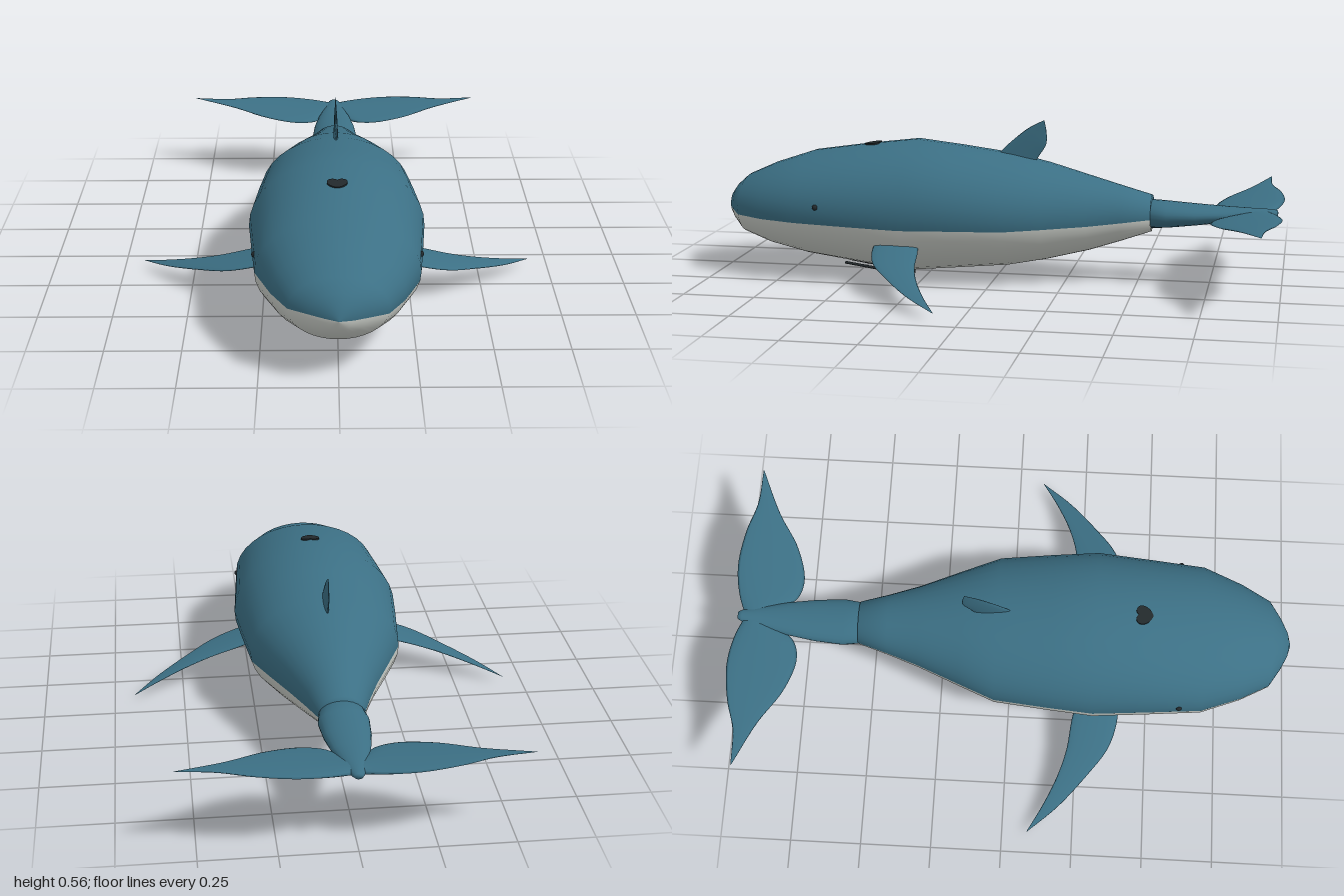
import * as THREE from 'three';

const V = (x, y, z) => new THREE.Vector3(x, y, z);
const mat = (color) => new THREE.MeshStandardMaterial({ color, roughness: 0.8 });

// Skin a list of closed rings; keep only the strips j0..j1 (normals stay shared across strips)
function loft(rings, j0 = 0, j1 = rings[0].length) {
  const n = rings[0].length;
  const strips = (from, to) => {
    const index = [];
    for (let i = 0; i < rings.length - 1; i++) {
      for (let j = from; j < to; j++) {
        const k = (j + 1) % n;
        const a = i * n + j, b = a + n, d = i * n + k, c = d + n;
        index.push(a, b, d, b, c, d);
      }
    }
    return index;
  };
  const geo = new THREE.BufferGeometry().setFromPoints(rings.flat());
  geo.setIndex(strips(0, n));
  geo.computeVertexNormals();
  geo.setIndex(strips(j0, j1));
  return geo;
}

// Elliptical rings from stations [z, halfWidth, top, bottom]
function hullRings(stations, n, startAngle) {
  return stations.map(([z, w, top, bottom]) =>
    Array.from({ length: n }, (_, j) => {
      const a = startAngle + (j / n) * Math.PI * 2;
      return V(w * Math.cos(a), (top + bottom) / 2 + ((top - bottom) / 2) * Math.sin(a), z);
    }));
}

// Lens-section fin between a leading and a trailing edge; side -1 mirrors it
function finGeometry(lead, trail, normal, half, side = 1) {
  const front = new THREE.CatmullRomCurve3(lead), back = new THREE.CatmullRomCurve3(trail);
  const rings = [];
  for (let i = 0; i <= 24; i++) {
    const u = i / 24, p = front.getPoint(u), q = back.getPoint(u);
    const mid = p.clone().add(q).multiplyScalar(0.5), chord = p.clone().sub(mid);
    const ring = [];
    for (let j = 0; j < 16; j++) {
      const a = (j / 16) * Math.PI * 2;
      const v = mid.clone().addScaledVector(chord, Math.cos(a))
        .addScaledVector(normal, half * (1 - u) * Math.sin(a));
      v.x *= side;
      ring.push(v);
    }
    rings.push(side < 0 ? ring.reverse() : ring);
  }
  return loft(rings);
}

export function createModel() {
  const model = new THREE.Group();
  const blue = mat(0x3c7085), pale = mat(0xccd0ca), dark = mat(0x22292c);
  const add = (name, geo, material) => {
    const mesh = new THREE.Mesh(geo, material);
    mesh.name = name;
    model.add(mesh);
    return mesh;
  };

  // Body: blue back and pale belly share one hull
  const hull = hullRings([
    [0.998, 0, 0.225, 0.225],
    [0.985, 0.045, 0.27, 0.19],
    [0.96, 0.095, 0.303, 0.163],
    [0.92, 0.158, 0.338, 0.128],
    [0.82, 0.212, 0.383, 0.092],
    [0.68, 0.267, 0.43, 0.062],
    [0.49, 0.283, 0.458, 0.035],
    [0.3, 0.298, 0.481, 0.013],
    [0.14, 0.284, 0.463, 0.028],
    [-0.05, 0.264, 0.438, 0.046],
    [-0.18, 0.21, 0.41, 0.07],
    [-0.33, 0.147, 0.368, 0.107],
    [-0.44, 0.109, 0.337, 0.143],
    [-0.545, 0.077, 0.308, 0.18],
    [-0.546, 0, 0.245, 0.245],
  ], 36, -Math.PI / 18);
  add('back', loft(hull, 0, 19), blue);
  add('belly', loft(hull, 19, 36), pale);

  // Tail stalk
  add('tailStalk', loft(hullRings([
    [-0.5, 0, 0.245, 0.245],
    [-0.501, 0.07, 0.294, 0.19],
    [-0.6, 0.085, 0.288, 0.196],
    [-0.7, 0.078, 0.281, 0.208],
    [-0.8, 0.062, 0.276, 0.222],
    [-0.9, 0.038, 0.273, 0.236],
    [-0.965, 0.022, 0.272, 0.244],
    [-0.98, 0.014, 0.268, 0.248],
    [-0.981, 0, 0.258, 0.258],
  ], 24, 0)), blue);

  // Paired fins
  const fluke = ([x, z]) => V(x, 0.247 + 0.06 * x - 0.1 * (z + 0.87), z);
  const flukeLead = [[0.015, -0.88], [0.075, -0.78], [0.15, -0.757], [0.27, -0.79], [0.4, -0.868], [0.56, -0.94]].map(fluke);
  const flukeTrail = [[0, -0.955], [0.085, -0.985], [0.19, -0.999], [0.32, -0.982], [0.43, -0.95], [0.56, -0.942]].map(fluke);
  const flipper = ([x, z]) => V(x, 0.14 - 0.272 * (x - 0.26), z);
  const flipperLead = [[0.2, 0.395], [0.29, 0.392], [0.38, 0.365], [0.48, 0.292], [0.59, 0.195], [0.68, 0.09]].map(flipper);
  const flipperTrail = [[0.2, 0.25], [0.29, 0.23], [0.39, 0.217], [0.48, 0.19], [0.585, 0.142], [0.68, 0.088]].map(flipper);
  for (const [side, label] of [[1, 'left'], [-1, 'right']]) {
    add(label + 'Fluke', finGeometry(flukeLead, flukeTrail, V(0, 1, 0), 0.016, side), blue);
    add(label + 'Flipper', finGeometry(flipperLead, flipperTrail, V(0.26, 0.96, 0), 0.012, side), blue);
    const eye = add(label + 'Eye', new THREE.SphereGeometry(0.01, 16, 12), dark);
    eye.position.set(side * 0.269, 0.273, 0.6);
  }

  // Dorsal fin
  add('dorsalFin', finGeometry(
    [V(0, 0.4, 0.03), V(0, 0.445, -0.005), V(0, 0.505, -0.07), V(0, 0.535, -0.11), V(0, 0.56, -0.158)],
    [V(0, 0.39, -0.125), V(0, 0.425, -0.138), V(0, 0.475, -0.168), V(0, 0.515, -0.17), V(0, 0.56, -0.162)],
    V(-1, 0, 0), 0.011), blue);

  // Heart-shaped blowhole, point toward the front
  const heart = new THREE.Shape();
  heart.moveTo(0, -0.03);
  heart.bezierCurveTo(0.018, -0.026, 0.034, -0.008, 0.034, 0.01);
  heart.bezierCurveTo(0.034, 0.032, 0.006, 0.034, 0, 0.02);
  heart.bezierCurveTo(-0.006, 0.034, -0.034, 0.032, -0.034, 0.01);
  heart.bezierCurveTo(-0.034, -0.008, -0.018, -0.026, 0, -0.03);
  const blowhole = add('blowhole', new THREE.ExtrudeGeometry(heart, { depth: 0.006, bevelEnabled: false }), dark);
  blowhole.position.set(0, 0.459, 0.46);
  blowhole.rotation.x = -Math.PI / 2 + 0.12;

  // Throat grooves
  for (const x of [-0.07, 0, 0.07]) {
    const lift = x ? 0.003 : 0;
    const path = new THREE.CatmullRomCurve3([
      V(x, 0.033 + lift, 0.55), V(x, 0.02 + lift, 0.46), V(x, 0.008 + lift, 0.37), V(x, 0.012 + lift, 0.29),
    ]);
    add('throatGroove', new THREE.TubeGeometry(path, 20, 0.005, 8), dark);
  }
  return model;
}
